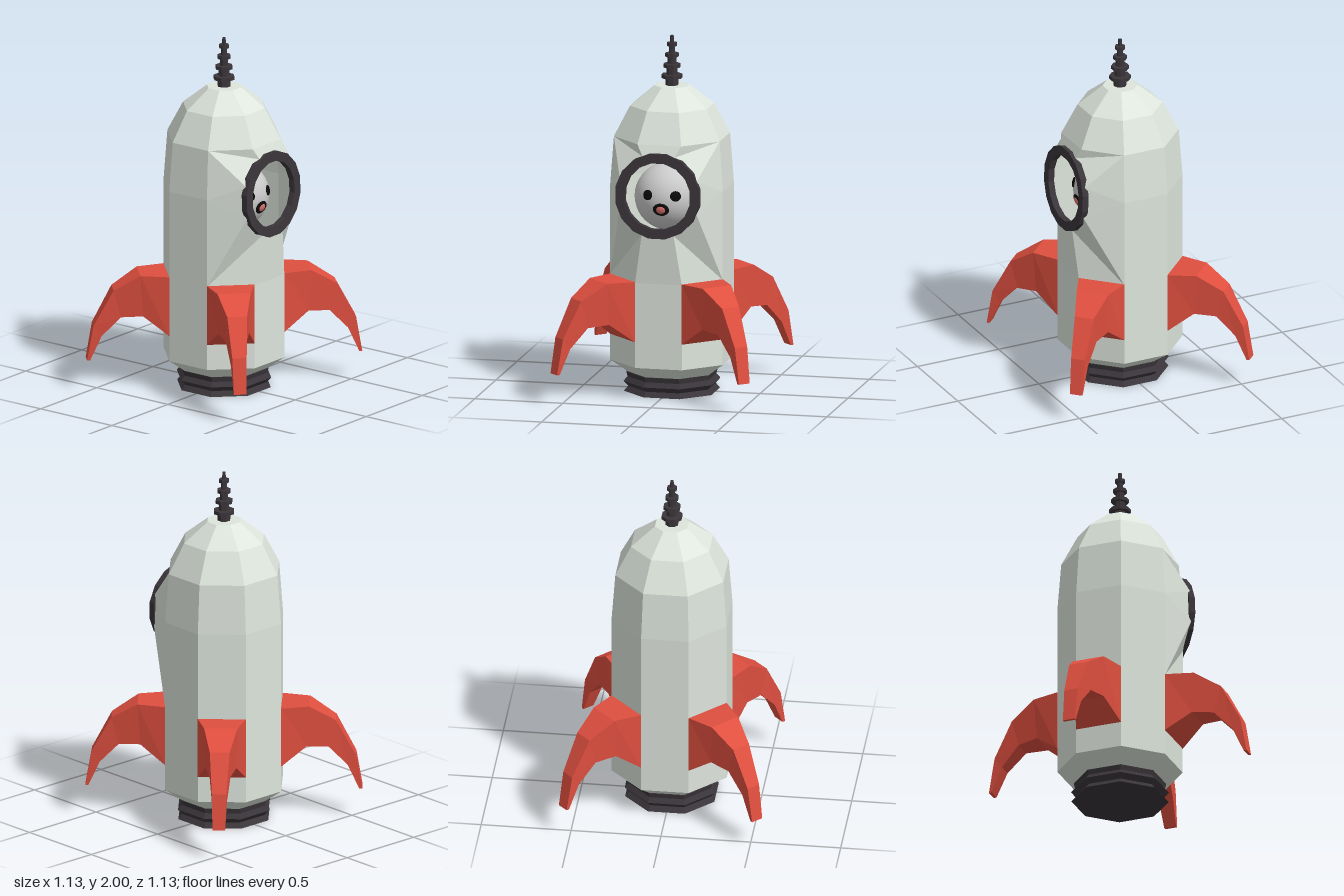
import * as THREE from 'three';

const EIGHTH = Math.PI / 4;
const OCT = 1 / Math.cos(EIGHTH / 2); // flat-to-centre distance -> corner radius

const paint = (color, options = {}) => new THREE.MeshStandardMaterial({ color, flatShading: true, ...options });

function add(parent, name, geometry, material) {
  const mesh = new THREE.Mesh(geometry, material);
  mesh.name = name;
  parent.add(mesh);
  return mesh;
}

// Geometry from polygons, each a counter-clockwise list of [x, y, z] corners
function fromFaces(faces) {
  const out = [];
  for (const f of faces)
    for (let i = 1; i < f.length - 1; i++) out.push(...f[0], ...f[i], ...f[i + 1]);
  const geometry = new THREE.BufferGeometry();
  geometry.setAttribute('position', new THREE.Float32BufferAttribute(out, 3));
  geometry.computeVertexNormals();
  return geometry;
}

// Octagonal turned solid, profile given as [flat radius, y]
const octLathe = (profile) =>
  new THREE.LatheGeometry(profile.map(([r, y]) => new THREE.Vector2(r * OCT, y)), 8, EIGHTH / 2);

// Porthole frame: centre and backward tilt
const PORT = { y: 1.16, z: 0.331, tilt: -0.04 };

// Octagonal hull whose front panels are drawn out to the round porthole
function hullGeometry() {
  const rows = [[0.23, 0.11], [0.32, 0.18], [0.32, 0.66], [0.32, 1.16], [0.3, 1.44], [0.217, 1.61], [0.09, 1.72]];
  const corner = (row, k) => {
    const a = (k + 0.5) * EIGHTH, [r, y] = rows[row];
    return [Math.sin(a) * r * OCT, y, Math.cos(a) * r * OCT];
  };
  const faces = [];
  for (let row = 0; row < rows.length - 1; row++)
    for (let k = -1; k < 7; k++) {
      if ((row === 2 || row === 3) && k <= 1) continue; // opening for the porthole
      faces.push([corner(row, k - 1), corner(row, k), corner(row + 1, k), corner(row + 1, k - 1)]);
    }
  faces.push(Array.from({ length: 8 }, (_, k) => corner(6, k))); // flat top

  // Rim points, counter-clockwise from the lower right
  const rim = (i) => {
    const a = (i - 1.5) * EIGHTH, y = 0.236 * Math.sin(a);
    return [0.236 * Math.cos(a), PORT.y + y, PORT.z + y * Math.sin(PORT.tilt)];
  };
  const [p0, p1, p2, p3] = [0, 1, 2, 3].map(rim);
  const b = corner(2, 0), a1 = corner(2, 1), a2 = corner(3, 1), a3 = corner(4, 1), t = corner(4, 0);
  const flip = ([x, y, z]) => [-x, y, z];
  const side = [[b, a1, p0], [a1, p1, p0], [a1, a2, p1], [a2, p2, p1], [a2, a3, p2], [a3, p3, p2], [a3, t, p3]];
  for (const f of side) faces.push(f, f.map(flip).reverse());
  faces.push([flip(b), b, p0, flip(p0)], [flip(p3), p3, t, flip(t)]);
  return fromFaces(faces);
}

// Curved fin reaching out along +z: stations of [top z, top y, half width, bottom z, bottom y, half width]
function finGeometry() {
  const loops = [
    [0.32, 0.665, 0.133, 0.32, 0.325, 0.133],
    [0.475, 0.665, 0.092, 0.46, 0.43, 0.086],
    [0.62, 0.575, 0.055, 0.58, 0.42, 0.058],
    [0.73, 0.37, 0.04, 0.685, 0.31, 0.042],
    [0.765, 0.17, 0.035, 0.748, 0.17, 0.035],
  ].map(([tz, ty, tw, bz, by, bw]) => [[-bw, by, bz], [bw, by, bz], [tw, ty, tz], [-tw, ty, tz]]);
  const faces = [loops[4], [...loops[0]].reverse()];
  for (let s = 0; s < 4; s++)
    for (let i = 0; i < 4; i++) {
      const j = (i + 1) % 4;
      faces.push([loops[s][i], loops[s][j], loops[s + 1][j], loops[s + 1][i]]);
    }
  return fromFaces(faces);
}

function ringGeometry(outer, inner, depth, sides) {
  const circle = (r) => Array.from({ length: sides }, (_, i) => {
    const a = ((i + 0.5) / sides) * Math.PI * 2;
    return new THREE.Vector2(r * Math.cos(a), r * Math.sin(a));
  });
  const shape = new THREE.Shape(circle(outer));
  shape.holes.push(new THREE.Path(circle(inner)));
  return new THREE.ExtrudeGeometry(shape, { depth, bevelEnabled: false }).translate(0, 0, -depth / 2);
}

export function createModel() {
  const model = new THREE.Group();
  model.name = 'rocket';
  const white = paint(0xdde5dc, { side: THREE.DoubleSide });
  const dark = paint(0x3a353a);
  const red = paint(0xdf4f3f);

  add(model, 'hull', hullGeometry(), white);

  // Ribbed engine nozzle
  add(model, 'nozzle', octLathe([[0, 0], [0.248, 0], [0.226, 0.028], [0.25, 0.056], [0.23, 0.082], [0.236, 0.11], [0, 0.11]]), dark);

  // Antenna: tapering stem with four shrinking discs
  const profile = [[0, 1.7], [0.034, 1.7]];
  [[1.77, 0.055], [1.83, 0.045], [1.89, 0.035], [1.95, 0.026]].forEach(([y, r], i) => {
    const stem = 0.034 - i * 0.006;
    profile.push([stem, y - 0.01], [r, y - 0.01], [r, y + 0.01], [stem - 0.006, y + 0.01]);
  });
  profile.push([0.009, 2], [0, 2]);
  add(model, 'antenna', octLathe(profile), dark);

  // Four fins on the diagonals
  const fin = finGeometry();
  for (let i = 0; i < 4; i++) add(model, 'fin', fin, red).rotation.y = EIGHTH * (2 * i + 1);

  // Porthole frame
  const frame = add(model, 'portholeFrame', ringGeometry(0.242, 0.188, 0.036, 16), dark);
  frame.position.set(0, PORT.y, PORT.z);
  frame.rotation.x = PORT.tilt;

  // Passenger's head with a simple face, set back inside the hull
  const head = new THREE.Group();
  head.name = 'passenger';
  head.position.set(0, 1.11, 0.08);
  model.add(head);
  add(head, 'head', new THREE.SphereGeometry(0.188, 32, 20), paint(0xcccccc, { flatShading: false }));
  const black = paint(0x0c0a0c, { flatShading: false });
  const feature = (name, x, y, w, h, lift, material) => {
    const mesh = add(head, name, new THREE.SphereGeometry(1, 16, 10), material);
    mesh.position.set(x, y, 0.188).setLength(0.186 + lift);
    mesh.scale.set(w, h, 0.01);
    mesh.quaternion.setFromUnitVectors(new THREE.Vector3(0, 0, 1), mesh.position.clone().normalize());
  };
  for (const s of [-1, 1]) feature('eye', s * 0.09, 0.039, 0.031, 0.029, 0, black);
  feature('mouth', 0, -0.043, 0.046, 0.037, 0, black);
  feature('tongue', 0, -0.043, 0.027, 0.023, 0.005, paint(0xd9706c, { flatShading: false }));

  return model;
}
